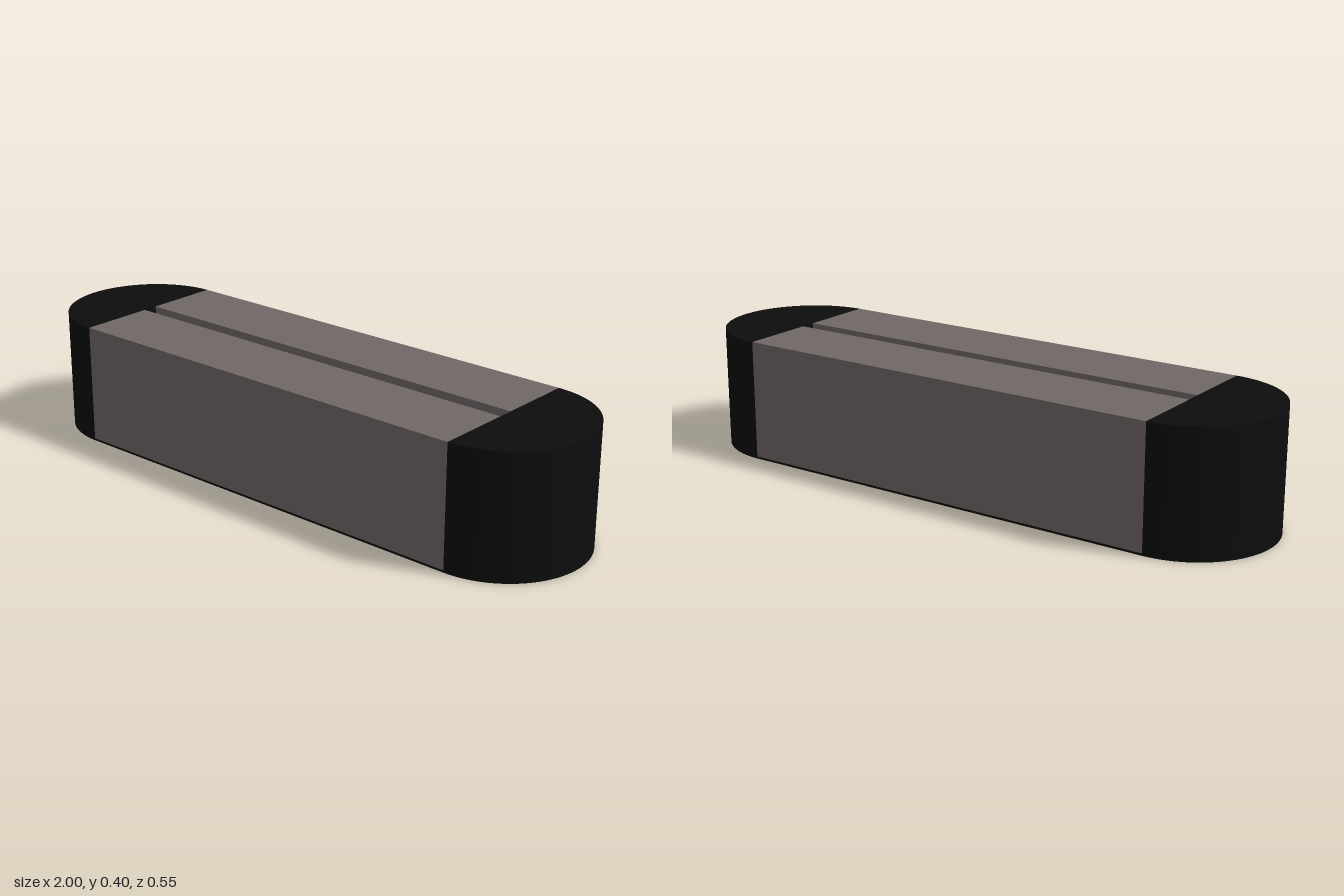
import * as THREE from 'three';

const R = 0.273;        // end radius, half of the depth
const HALF = 0.727;     // half length of the straight part
const TOP = 0.397;
const BASE = 0.007;     // thickness of the base plate
const SLOT = 0.025;     // half width of the light slot
const FLOOR = 0.2;      // height of the light strip

const black = new THREE.MeshStandardMaterial({ color: 0x0d0d0d });
const stone = new THREE.MeshStandardMaterial({ color: 0x6f6866 });
const blue = new THREE.MeshStandardMaterial({ color: 0x3a9bc9 });

// Extrudes a plan outline upwards from y0 to y1
function slab(name, shape, y0, y1, material) {
  const geometry = new THREE.ExtrudeGeometry(shape, {
    depth: y1 - y0, bevelEnabled: false, curveSegments: 24,
  });
  geometry.rotateX(-Math.PI / 2);
  geometry.translate(0, y0, 0);
  const mesh = new THREE.Mesh(geometry, material);
  mesh.name = name;
  return mesh;
}

function box(name, w, y0, y1, d, z, material) {
  const mesh = new THREE.Mesh(new THREE.BoxGeometry(w, y1 - y0, d), material);
  mesh.position.set(0, (y0 + y1) / 2, z);
  mesh.name = name;
  return mesh;
}

export function createModel() {
  const model = new THREE.Group();
  model.name = 'bench';

  // Thin base plate with round ends
  const plan = new THREE.Shape();
  plan.absarc(HALF, 0, R, -Math.PI / 2, Math.PI / 2, false);
  plan.absarc(-HALF, 0, R, Math.PI / 2, Math.PI * 1.5, false);
  plan.closePath();
  model.add(slab('basePlate', plan, 0, BASE, black));

  // Half-round ends
  for (const [name, side] of [['leftEnd', 1], ['rightEnd', -1]]) {
    const half = new THREE.Shape();
    const start = side > 0 ? -Math.PI / 2 : Math.PI / 2;
    half.absarc(side * HALF, 0, R, start, start + Math.PI, false);
    half.closePath();
    model.add(slab(name, half, BASE, TOP, black));
  }

  // Two long blocks with a slot between them
  const depth = R - SLOT;
  for (const [name, side] of [['frontBlock', 1], ['backBlock', -1]]) {
    model.add(box(name, 2 * HALF, BASE, TOP, depth, side * (SLOT + depth / 2), stone));
  }

  // Light strip sunk in the slot
  model.add(box('lightStrip', 2 * HALF, BASE, FLOOR, 2 * SLOT, 0, blue));

  return model;
}
